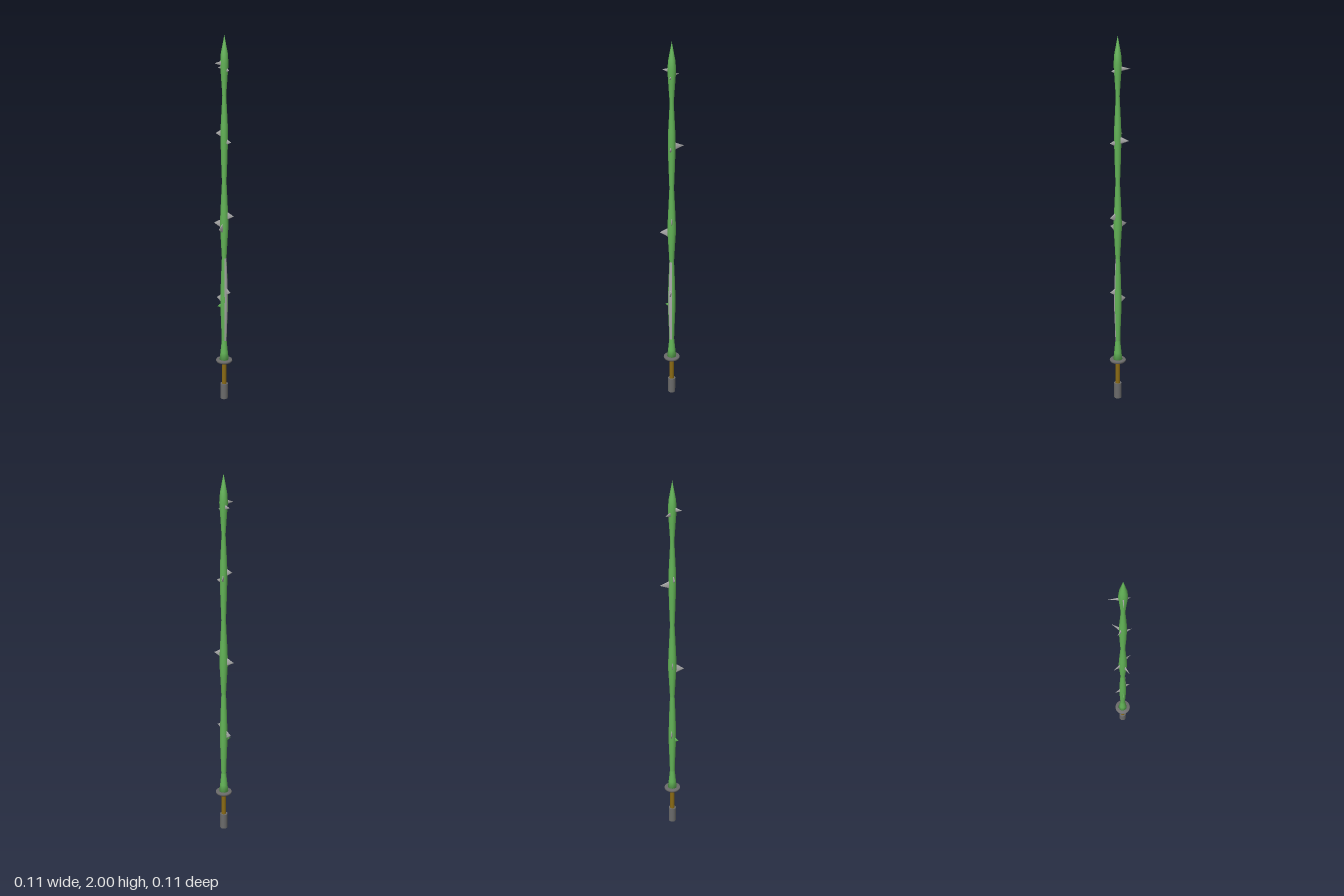
import * as THREE from 'three';

const CX = 0.006, CZ = -0.005; // shaft axis

const mat = (color) => new THREE.MeshStandardMaterial({ color });
const green = mat(0x62b356), darkGrey = mat(0x6a6a6a), grey = mat(0xaaaaaa), brown = mat(0x8a6a14);

export function createModel() {
  const model = new THREE.Group();

  const lathe = (name, material, points, segments = 24, start = 0, length = Math.PI * 2) => {
    const profile = points.map(([r, y]) => new THREE.Vector2(r, y));
    const mesh = new THREE.Mesh(new THREE.LatheGeometry(profile, segments, start, length), material);
    mesh.name = name;
    mesh.position.set(CX, 0, CZ);
    model.add(mesh);
  };
  const cylinder = (name, material, r, y0, y1) => {
    const mesh = new THREE.Mesh(new THREE.CylinderGeometry(r, r, y1 - y0, 20), material);
    mesh.name = name;
    mesh.position.set(CX, (y0 + y1) / 2, CZ);
    model.add(mesh);
  };

  // Handle
  cylinder('pommel', darkGrey, 0.021, 0, 0.09);
  cylinder('grip', brown, 0.013, 0.085, 0.225);
  lathe('guard', darkGrey, [[0, 0.214], [0.026, 0.216], [0.042, 0.224], [0.046, 0.231], [0.044, 0.237], [0, 0.239]]);

  // Stem blade: swelling lobes between narrow necks
  const lower = [[0.014, 0.35], [0.017, 0.44], [0.0205, 0.53], [0.021, 0.6], [0.0185, 0.7], [0.013, 0.83]];
  const upper = [[0.013, 0.83], [0.018, 0.92], [0.0235, 1.01], [0.0205, 1.09], [0.0125, 1.25],
    [0.0175, 1.38], [0.02, 1.48], [0.0185, 1.55], [0.0105, 1.7], [0.017, 1.79], [0.022, 1.86],
    [0.018, 1.91], [0, 2]];
  lathe('bladeBase', green, [[0, 0.236], [0.026, 0.237], [0.021, 0.28], [0.014, 0.35]], 12);
  lathe('lowerBlade', green, lower, 10, Math.PI * 2 / 3, Math.PI * 5 / 3);
  lathe('lowerBladeStrip', grey, lower, 2, Math.PI / 3, Math.PI / 3);
  lathe('upperBlade', green, upper, 12);

  // Thorns: tip x, y, z, and height at the root
  const thorns = [
    [0, 0.56, 0.037, 0.036, green], [-0.042, 0.595, 0.008, 0.06], [0.052, 0.64, -0.013, 0.046],
    [0.032, 1.0, 0.053, 0.06], [-0.049, 1.02, 0.021, 0.055], [0.056, 1.065, -0.031, 0.05],
    [0.052, 1.46, -0.015, 0.034], [-0.041, 1.475, -0.053, 0.042], [-0.027, 1.505, 0.026, 0.044],
    [0.042, 1.825, -0.01, 0.026], [-0.058, 1.837, -0.014, 0.026], [-0.003, 1.86, 0.052, 0.026],
  ];
  thorns.forEach(([x, y, z, height, material = grey]) => {
    const dx = x - CX, dz = z - CZ, reach = Math.hypot(dx, dz), root = 0.012;
    const geometry = new THREE.CylinderGeometry(0.0015, 0.5, 1, 8);
    geometry.rotateZ(-Math.PI / 2); // point along +x
    geometry.scale(reach - root, height, 0.009);
    geometry.translate((reach + root) / 2, 0, 0);
    const thorn = new THREE.Mesh(geometry, material);
    thorn.name = 'thorn';
    thorn.position.set(CX, y, CZ);
    thorn.rotation.y = Math.atan2(-dz, dx);
    model.add(thorn);
  });

  return model;
}
